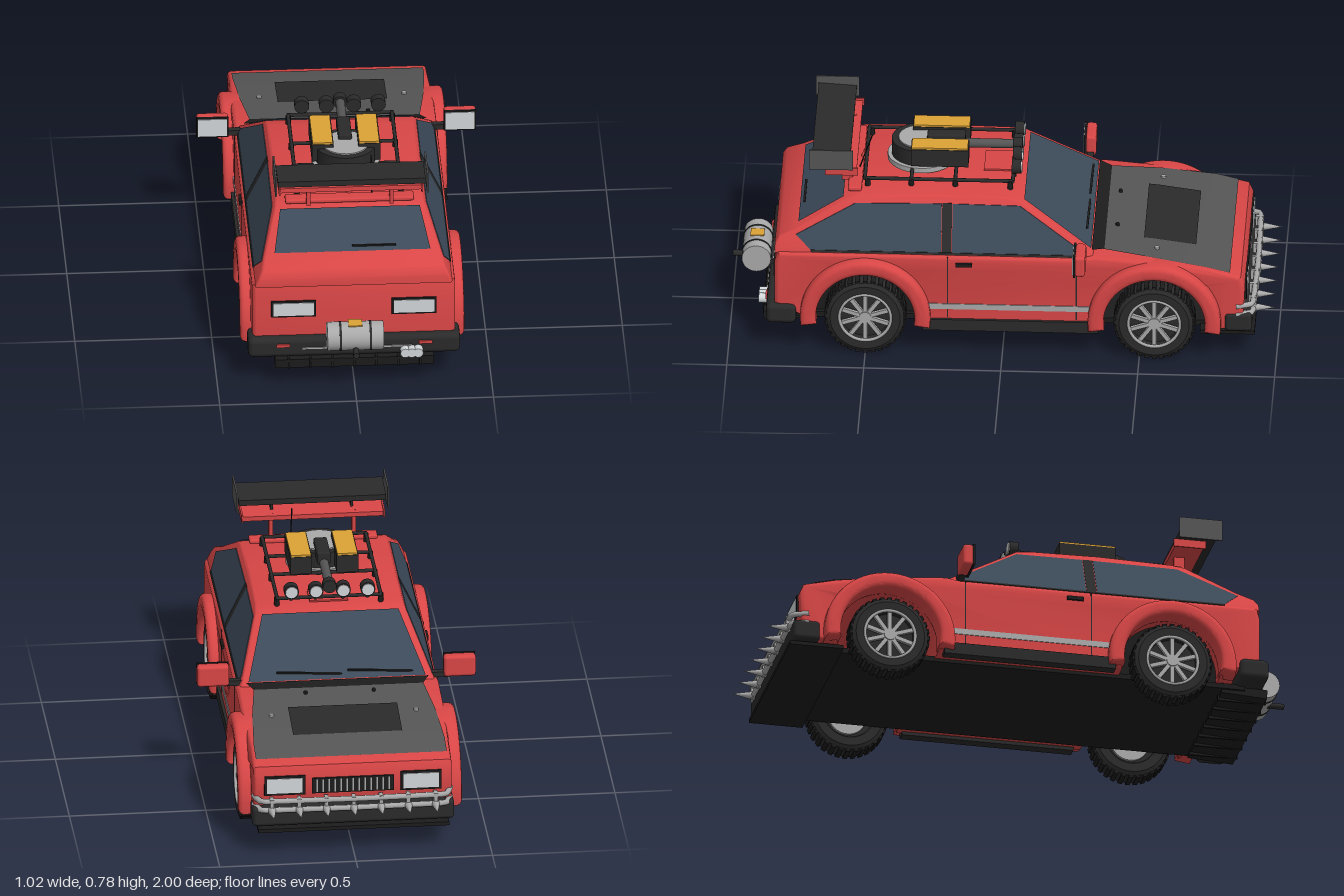
import * as THREE from 'three';
import { toCreasedNormals } from 'three/addons/utils/BufferGeometryUtils.js';
import { RoundedBoxGeometry } from 'three/addons/geometries/RoundedBoxGeometry.js';

const mat = (color) => new THREE.MeshStandardMaterial({ color, side: THREE.DoubleSide });
const red = mat(0xd94646), dark = mat(0x2a2a2b), black = mat(0x1c1c1d), hoodGrey = mat(0x555555);
const glass = mat(0x3c4a59), chrome = mat(0xaaaaaa), lamp = mat(0xd2d7da), orange = mat(0xdca236);
const WHEEL_Y = 0.15, FRONT_Z = -0.555, REAR_Z = 0.5;

export function createModel() {
  const car = new THREE.Group();
  car.name = 'car';

  const add = (name, geo, material, x = 0, y = 0, z = 0, parent = car) => {
    const m = new THREE.Mesh(geo, material);
    m.name = name;
    m.position.set(x, y, z);
    parent.add(m);
    return m;
  };
  const box = (name, material, w, h, d, x, y, z, parent) =>
    add(name, new THREE.BoxGeometry(w, h, d), material, x, y, z, parent);
  const rounded = (name, material, w, h, d, x, y, z, r = 0.015) =>
    add(name, new RoundedBoxGeometry(w, h, d, 2, r), material, x, y, z);
  const cyl = (name, material, r, len, axis, x, y, z, parent, sides = 20) => {
    const g = new THREE.CylinderGeometry(r, r, len, sides);
    if (axis === 'x') g.rotateZ(Math.PI / 2);
    if (axis === 'z') g.rotateX(Math.PI / 2);
    return add(name, g, material, x, y, z, parent);
  };
  const polygon = (pts) => new THREE.Shape(pts.map(([z, y]) => new THREE.Vector2(z, y)));

  // Extrudes a (z, y) side profile across the car, centred on x = 0
  const sideExtrude = (shape, width, bevel = 0) => {
    const depth = width - 2 * bevel;
    const g = new THREE.ExtrudeGeometry(shape, {
      depth, curveSegments: 28, bevelEnabled: bevel > 0, bevelSize: bevel,
      bevelThickness: bevel, bevelOffset: -bevel, bevelSegments: 3,
    });
    return g.translate(0, 0, -depth / 2).rotateY(-Math.PI / 2);
  };
  const shapeX = (g, factor) => {
    const p = g.attributes.position;
    for (let i = 0; i < p.count; i++) p.setX(i, p.getX(i) * factor(p.getY(i), p.getZ(i)));
    g.computeVertexNormals();
    return toCreasedNormals(g, 0.6);
  };
  // The cabin narrows towards the roof
  const halfWidth = (y) => 0.36 - (y - 0.4) * 0.47;
  const lean = (y) => halfWidth(y) / 0.36;

  // Symmetric sheet through rows of [z, y, halfWidth]
  const sheet = (name, material, rows) => {
    const g = new THREE.BufferGeometry(), pos = [], index = [];
    rows.forEach(([z, y, w], i) => {
      pos.push(-w, y, z, w, y, z);
      const a = i * 2;
      if (i < rows.length - 1) index.push(a, a + 2, a + 3, a, a + 3, a + 1);
    });
    g.setAttribute('position', new THREE.Float32BufferAttribute(pos, 3));
    g.setIndex(index);
    g.computeVertexNormals();
    return add(name, g, material);
  };

  // Lower body with wheel arches cut through
  const lower = new THREE.Shape();
  lower.moveTo(0.81, 0.12);
  lower.absarc(REAR_Z, WHEEL_Y, 0.185, -0.2, Math.PI + 0.2, false);
  lower.absarc(FRONT_Z, WHEEL_Y, 0.19, -0.2, Math.PI + 0.2, false);
  [[-0.85, 0.12], [-0.88, 0.19], [-0.885, 0.3], [-0.87, 0.335], [-0.75, 0.365], [-0.55, 0.393],
    [-0.34, 0.412], [-0.28, 0.402], [0.82, 0.402], [0.832, 0.36], [0.832, 0.19]].forEach(([z, y]) => lower.lineTo(z, y));
  add('lowerBody', shapeX(sideExtrude(lower, 0.742, 0.015),
    (y, z) => (z < -0.7 ? 0.98 : 1)), red);
  box('floor', black, 0.6, 0.02, 1.62, 0, 0.11, -0.02);
  box('rearWheelHousing', black, 0.56, 0.24, 0.4, 0, 0.23, REAR_Z);

  // Cabin
  add('cabin', shapeX(sideExtrude(polygon([[-0.35, 0.392], [-0.32, 0.42], [-0.06, 0.585], [0.0, 0.594],
    [0.25, 0.6], [0.52, 0.592], [0.57, 0.583], [0.755, 0.478], [0.815, 0.452], [0.832, 0.425], [0.832, 0.392]]),
  0.72, 0.01), lean), red);
  const cabinPanel = (name, material, pts, extra) =>
    add(name, shapeX(sideExtrude(polygon(pts), 0.72 + extra), lean), material);
  cabinPanel('rearSideWindows', glass, [[0.225, 0.41], [0.225, 0.572], [0.54, 0.568], [0.755, 0.46], [0.7, 0.41]], 0.006);
  cabinPanel('doorWindows', glass, [[-0.27, 0.41], [-0.28, 0.43], [-0.06, 0.57], [0.185, 0.572], [0.185, 0.41]], 0.006);
  cabinPanel('doorPillars', dark, [[0.187, 0.405], [0.187, 0.574], [0.223, 0.574], [0.223, 0.405]], 0.004);
  cabinPanel('beltTrim', dark, [[-0.3, 0.404], [-0.3, 0.411], [0.7, 0.411], [0.7, 0.404]], 0.01);
  sheet('windscreen', glass, [[-0.322, 0.425, 0.325], [-0.075, 0.582, 0.25]]);
  sheet('rearWindow', glass, [[0.585, 0.58, 0.255], [0.748, 0.488, 0.285]]);
  box('rearWiper', black, 0.16, 0.006, 0.008, 0.08, 0.502, 0.732);
  for (const x of [-0.16, 0.1]) {
    const wiper = box('frontWiper', black, 0.24, 0.006, 0.008, x, 0.443, -0.303);
    wiper.rotation.z = 0.06;
  }

  // Hood
  sheet('hood', hoodGrey, [[-0.83, 0.349, 0.35], [-0.75, 0.369, 0.35], [-0.55, 0.397, 0.335], [-0.36, 0.416, 0.31]]);
  sheet('hoodVent', dark, [[-0.7, 0.38, 0.2], [-0.55, 0.401, 0.2], [-0.51, 0.405, 0.2]]);
  sheet('cowl', black, [[-0.37, 0.416, 0.31], [-0.325, 0.424, 0.335]]);
  for (const s of [-1, 1]) {
    cyl('hoodPin', chrome, 0.009, 0.012, 'y', s * 0.265, 0.397, -0.56);
    cyl('washerJet', black, 0.007, 0.012, 'y', s * 0.125, 0.414, -0.41);
  }

  // Fenders, side trim and mirrors, mirrored left and right
  const flare = (r0, r1) => {
    const s = new THREE.Shape();
    s.absarc(0, 0, r1, -0.15, Math.PI + 0.15, false);
    s.absarc(0, 0, r0, Math.PI + 0.15, -0.15, true);
    return toCreasedNormals(sideExtrude(s, 0.09, 0.018), 0.6);
  };
  for (const s of [-1, 1]) {
    add('frontFender', flare(0.185, 0.243), red, s * 0.365, WHEEL_Y, FRONT_Z);
    add('rearFender', flare(0.18, 0.238), red, s * 0.365, WHEEL_Y, REAR_Z);
    box('sill', dark, 0.04, 0.045, 0.64, s * 0.362, 0.122, -0.03);
    box('sideStripe', chrome, 0.006, 0.022, 0.62, s * 0.371, 0.195, -0.025);
    box('doorHandle', black, 0.012, 0.014, 0.06, s * 0.374, 0.37, 0.14);
    for (const z of [-0.27, 0.2]) box('doorSeam', dark, 0.003, 0.25, 0.004, s * 0.371, 0.275, z);
    rounded('mirrorHousing', red, 0.118, 0.082, 0.04, s * 0.452, 0.445, -0.288, 0.012);
    box('mirrorFrame', black, 0.118, 0.082, 0.008, s * 0.452, 0.445, -0.268);
    box('mirrorGlass', lamp, 0.106, 0.07, 0.004, s * 0.452, 0.445, -0.263);
    box('mirrorStalk', dark, 0.08, 0.02, 0.025, s * 0.375, 0.413, -0.288);
    // Lamps
    box('tailLampFrame', black, 0.164, 0.066, 0.016, s * 0.22, 0.302, 0.83);
    box('tailLamp', lamp, 0.148, 0.052, 0.01, s * 0.22, 0.302, 0.836);
    box('rearReflector', red, 0.05, 0.012, 0.01, s * 0.26, 0.165, 0.864);
    box('headlampFrame', black, 0.15, 0.075, 0.016, s * 0.25, 0.265, -0.882);
    box('headlamp', lamp, 0.13, 0.058, 0.012, s * 0.25, 0.265, -0.887);
  }

  // Wheels
  const tyreProfile = [[0.095, -0.04], [0.128, -0.042], [0.141, -0.034], [0.145, -0.02], [0.145, 0.02],
    [0.141, 0.034], [0.128, 0.042], [0.095, 0.04], [0.09, 0.02], [0.09, -0.035], [0.095, -0.04]];
  const tyreGeo = toCreasedNormals(new THREE.LatheGeometry(tyreProfile.map(([r, h]) => new THREE.Vector2(r, h)), 40)
    .rotateZ(-Math.PI / 2), 0.6);
  const buildWheel = (side, z) => {
    const wheel = new THREE.Group();
    wheel.name = 'wheel';
    wheel.position.set(side * 0.351, WHEEL_Y, z);
    wheel.rotation.y = side < 0 ? Math.PI : 0;
    add('tyre', tyreGeo, dark, 0, 0, 0, wheel);
    for (let i = 0; i < 32; i++) {
      const a = (i / 32) * Math.PI * 2;
      const block = box('tread', black, 0.068, 0.008, 0.017, 0, Math.cos(a) * 0.145, Math.sin(a) * 0.145, wheel);
      block.rotation.x = a;
    }
    add('rimLip', new THREE.TorusGeometry(0.094, 0.006, 8, 40).rotateY(Math.PI / 2), chrome, 0.038, 0, 0, wheel);
    cyl('rimBack', dark, 0.09, 0.012, 'x', 0.006, 0, 0, wheel, 32);
    cyl('brakeDisc', chrome, 0.07, 0.01, 'x', -0.008, 0, 0, wheel, 32);
    cyl('hub', chrome, 0.022, 0.035, 'x', 0.022, 0, 0, wheel);
    for (let i = 0; i < 10; i++) {
      const a = (i / 10) * Math.PI * 2;
      const spoke = box('spoke', chrome, 0.014, 0.076, 0.015, 0.028, Math.cos(a) * 0.054, Math.sin(a) * 0.054, wheel);
      spoke.rotation.x = a;
    }
    car.add(wheel);
  };
  for (const s of [-1, 1]) for (const z of [FRONT_Z, REAR_Z]) buildWheel(s, z);
  for (const z of [FRONT_Z, REAR_Z]) cyl('axle', black, 0.018, 0.64, 'x', 0, WHEEL_Y, z);

  // Front end: grille, bumper, splitter and spiked bar
  box('grille', black, 0.3, 0.06, 0.016, 0, 0.26, -0.882);
  for (let i = -6; i <= 6; i++) box('grilleSlat', chrome, 0.005, 0.05, 0.006, i * 0.022, 0.26, -0.889);
  rounded('frontBumper', dark, 0.74, 0.075, 0.1, 0, 0.15, -0.86);
  box('splitter', black, 0.7, 0.014, 0.2, 0, 0.1, -0.82);
  const barCurve = new THREE.CatmullRomCurve3([[-0.36, 0.18, -0.85], [-0.335, 0.18, -0.912], [0, 0.18, -0.918],
    [0.335, 0.18, -0.912], [0.36, 0.18, -0.85]].map((p) => new THREE.Vector3(...p)), false, 'catmullrom', 0.1);
  for (const dy of [0, 0.035]) add('bumperBar', new THREE.TubeGeometry(barCurve, 40, 0.011, 8), chrome, 0, dy, 0);
  for (let i = -3; i <= 3; i++) {
    add('spike', new THREE.ConeGeometry(0.016, 0.08, 12).rotateX(-Math.PI / 2), chrome, i * 0.1, 0.18, -0.955);
    box('barBracket', chrome, 0.014, 0.06, 0.03, i * 0.1, 0.195, -0.91);
  }

  // Rear end: bumper, diffuser, tank and exhausts
  rounded('rearBumper', dark, 0.775, 0.078, 0.11, 0, 0.152, 0.808, 0.02);
  box('bumperTrim', chrome, 0.4, 0.006, 0.006, 0.01, 0.152, 0.864);
  const diffuser = box('diffuser', black, 0.58, 0.035, 0.17, 0, 0.1, 0.79);
  diffuser.rotation.x = 0.06;
  for (let i = -3; i <= 3; i++) box('diffuserFin', black, 0.008, 0.04, 0.18, i * 0.08, 0.097, 0.79);
  cyl('tank', chrome, 0.053, 0.206, 'x', 0, 0.225, 0.91, car, 32);
  for (const x of [-0.055, 0.055]) cyl('tankStrap', dark, 0.055, 0.008, 'x', x, 0.225, 0.91, car, 32);
  box('tankLabelPlate', orange, 0.05, 0.004, 0.05, 0, 0.278, 0.91);
  box('tankMount', dark, 0.14, 0.03, 0.06, 0, 0.19, 0.85);
  cyl('towPole', dark, 0.011, 0.16, 'z', 0, 0.19, 0.92);
  for (const x of [0.185, 0.208, 0.232]) cyl('exhaust', lamp, 0.018, 0.11, 'z', x, 0.135, 0.84);

  // Rear wing
  rounded('wingBase', red, 0.47, 0.018, 0.05, 0, 0.598, 0.545, 0.007);
  const lowWing = box('lowerWing', red, 0.52, 0.018, 0.11, 0, 0.687, 0.592);
  const topWing = box('upperWing', dark, 0.54, 0.022, 0.14, 0, 0.742, 0.63);
  lowWing.rotation.x = topWing.rotation.x = -0.06;
  for (const s of [-1, 1]) {
    box('wingEndPlate', hoodGrey, 0.006, 0.08, 0.16, s * 0.277, 0.743, 0.63);
    box('lowerWingEndPlate', red, 0.006, 0.03, 0.12, s * 0.26, 0.687, 0.592);
    box('wingPost', red, 0.014, 0.1, 0.04, s * 0.152, 0.645, 0.575);
    box('wingStrut', dark, 0.01, 0.06, 0.03, s * 0.147, 0.71, 0.6);
  }
  add('roofFin', new THREE.ConeGeometry(0.015, 0.04, 4), red, 0, 0.62, 0.52);
  const aerial = cyl('aerial', black, 0.0025, 0.14, 'y', 0.083, 0.675, 0.51, car, 6);
  aerial.rotation.x = -0.33;

  // Roof rack
  for (const s of [-1, 1]) {
    cyl('rackRail', dark, 0.007, 0.54, 'z', s * 0.19, 0.622, 0.24, car, 8);
    for (const z of [-0.02, 0.18, 0.34, 0.5]) cyl('rackFoot', black, 0.01, 0.035, 'y', s * 0.19, 0.606, z, car, 8);
  }
  for (const z of [-0.03, 0.18, 0.34, 0.51]) cyl('rackCrossbar', dark, 0.007, 0.39, 'x', 0, 0.622, z, car, 8);
  box('roofHatch', red, 0.14, 0.006, 0.1, 0, 0.6, 0.03);
  for (const x of [-0.14, -0.05, 0.05, 0.14]) {
    cyl('spotlight', dark, 0.027, 0.034, 'z', x, 0.657, -0.042);
    cyl('spotlightLens', lamp, 0.022, 0.006, 'z', x, 0.657, -0.06);
    cyl('spotlightStem', dark, 0.006, 0.03, 'y', x, 0.63, -0.035, car, 8);
  }

  // Roof turret
  cyl('turretBase', dark, 0.11, 0.06, 'y', 0, 0.66, 0.31, car, 32);
  cyl('turretPlate', chrome, 0.085, 0.006, 'y', 0, 0.692, 0.31, car, 32);
  cyl('turretPedestal', chrome, 0.125, 0.02, 'y', 0, 0.62, 0.31, car, 32);
  for (const s of [-1, 1]) {
    box('ammunitionBox', dark, 0.08, 0.068, 0.21, s * 0.085, 0.673, 0.24);
    box('ammunitionLid', orange, 0.074, 0.008, 0.205, s * 0.085, 0.71, 0.24);
  }
  rounded('gunBody', dark, 0.05, 0.05, 0.14, 0, 0.69, 0.22, 0.008);
  cyl('gunBarrel', hoodGrey, 0.017, 0.24, 'z', 0, 0.672, 0.07);
  cyl('gunMuzzle', dark, 0.025, 0.035, 'z', 0, 0.672, -0.04);

  return car;
}
